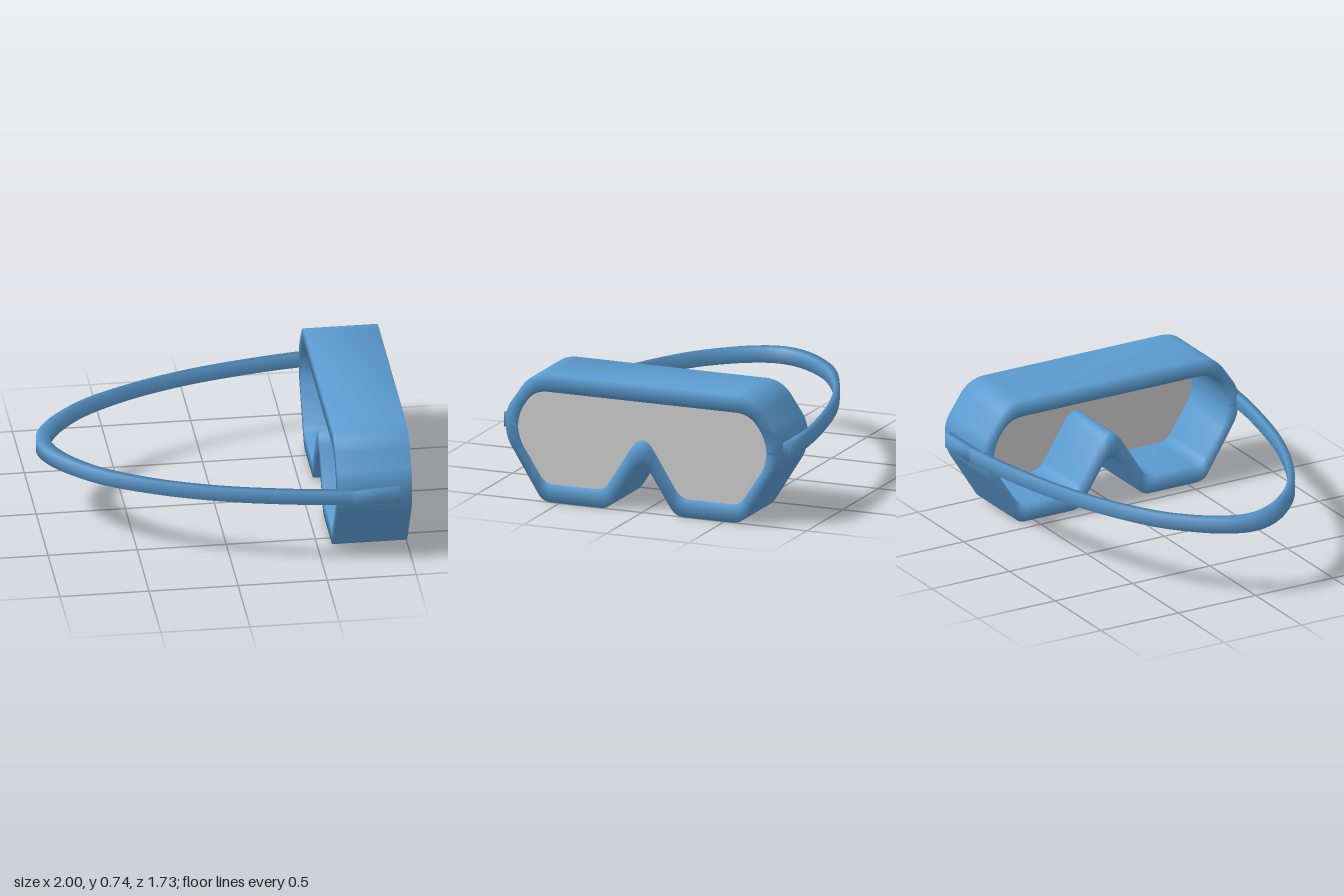
import * as THREE from 'three';

const blue = new THREE.MeshStandardMaterial({ color: 0x5b9bd0 });
const grey = new THREE.MeshStandardMaterial({ color: 0xcccccc, side: THREE.DoubleSide });

// Mirrors half an outline (first point on the axis) and rounds each corner.
// Corners are [u, v, trim], listed counter-clockwise.
function roundedOutline(half, steps = 8) {
  const mirrored = half.slice(1).reverse().map(([u, v, t]) => [-u, v, t]);
  const corners = [...half, ...mirrored];
  const n = corners.length;
  const points = [];
  corners.forEach(([u, v, trim], i) => {
    const c = new THREE.Vector2(u, v);
    const toward = (j) => {
      const p = new THREE.Vector2(corners[j][0], corners[j][1]);
      return p.sub(c).setLength(trim).add(c);
    };
    const bend = new THREE.QuadraticBezierCurve(toward((i + n - 1) % n), c, toward((i + 1) % n));
    points.push(...bend.getPoints(steps));
  });
  return points;
}

// Smooth-shaded band between two paired outlines, from depth lo to hi.
function band(outer, inner, lo, hi, closed) {
  const pos = [], index = [];
  const n = outer.length;
  for (let i = 0; i < n; i++) {
    const a = outer[i], b = inner[i];
    pos.push(a.x, a.y, hi, b.x, b.y, hi, b.x, b.y, lo, a.x, a.y, lo);
  }
  for (let i = 0; i < (closed ? n : n - 1); i++) {
    const j = (i + 1) % n;
    for (let k = 0; k < 4; k++) {
      const m = (k + 1) % 4;
      const p = i * 4 + k, q = j * 4 + k, r = j * 4 + m, s = i * 4 + m;
      index.push(p, q, r, p, r, s);
    }
  }
  if (!closed) {
    const e = (n - 1) * 4;
    index.push(0, 1, 2, 0, 2, 3, e, e + 2, e + 1, e, e + 3, e + 2);
  }
  const geo = new THREE.BufferGeometry();
  geo.setAttribute('position', new THREE.Float32BufferAttribute(pos, 3));
  geo.setIndex(index);
  geo.computeVertexNormals();
  return geo;
}

// Straight strap end, then a smooth curve to the back, mirrored to the other side.
function strapLine(half) {
  const mirrored = half.slice(0, -1).reverse().map(([x, v]) => [x, -v]);
  const pts = [...half, ...mirrored].map(([x, v]) => new THREE.Vector2(x, v));
  const curve = new THREE.SplineCurve(pts.slice(1, -1));
  return [pts[0], ...curve.getPoints((pts.length - 3) * 6), pts[pts.length - 1]];
}

export function createModel() {
  const group = new THREE.Group();
  const add = (name, geo, material) => {
    const mesh = new THREE.Mesh(geo, material);
    mesh.name = name;
    group.add(mesh);
  };

  // Deep mask frame with a nose notch, opening toward +x
  const outer = roundedOutline([
    [0, 0.312, 0.12], [0.203, 0, 0.05], [0.602, 0, 0.05],
    [0.825, 0.355, 0.07], [0.825, 0.51, 0.06], [0.67, 0.735, 0.1],
  ]);
  const inner = roundedOutline([
    [0, 0.468, 0.13], [0.23, 0.102, 0.06], [0.59, 0.102, 0.05],
    [0.755, 0.355, 0.07], [0.755, 0.49, 0.08], [0.655, 0.635, 0.085],
  ]);
  add('frame', band(outer, inner, 0.583, 1, true).rotateY(Math.PI / 2), blue);

  // Lens pane filling the front opening
  const lens = new THREE.ExtrudeGeometry(new THREE.Shape(inner), { depth: 0.015, bevelEnabled: false });
  add('lens', lens.translate(0, 0, 0.975).rotateY(Math.PI / 2), grey);

  // Head strap, thicker at the back
  const strapOuter = strapLine([
    [0.93, 0.865], [0.68, 0.865], [0.4, 0.825], [0, 0.738], [-0.35, 0.615],
    [-0.66, 0.455], [-0.86, 0.28], [-0.966, 0.13], [-1, 0],
  ]);
  const strapInner = strapLine([
    [0.93, 0.825], [0.68, 0.825], [0.4, 0.79], [0, 0.703], [-0.35, 0.578],
    [-0.64, 0.415], [-0.805, 0.26], [-0.895, 0.12], [-0.925, 0],
  ]);
  add('strap', band(strapOuter, strapInner, 0.388, 0.47, false).rotateX(-Math.PI / 2), blue);

  return group;
}
